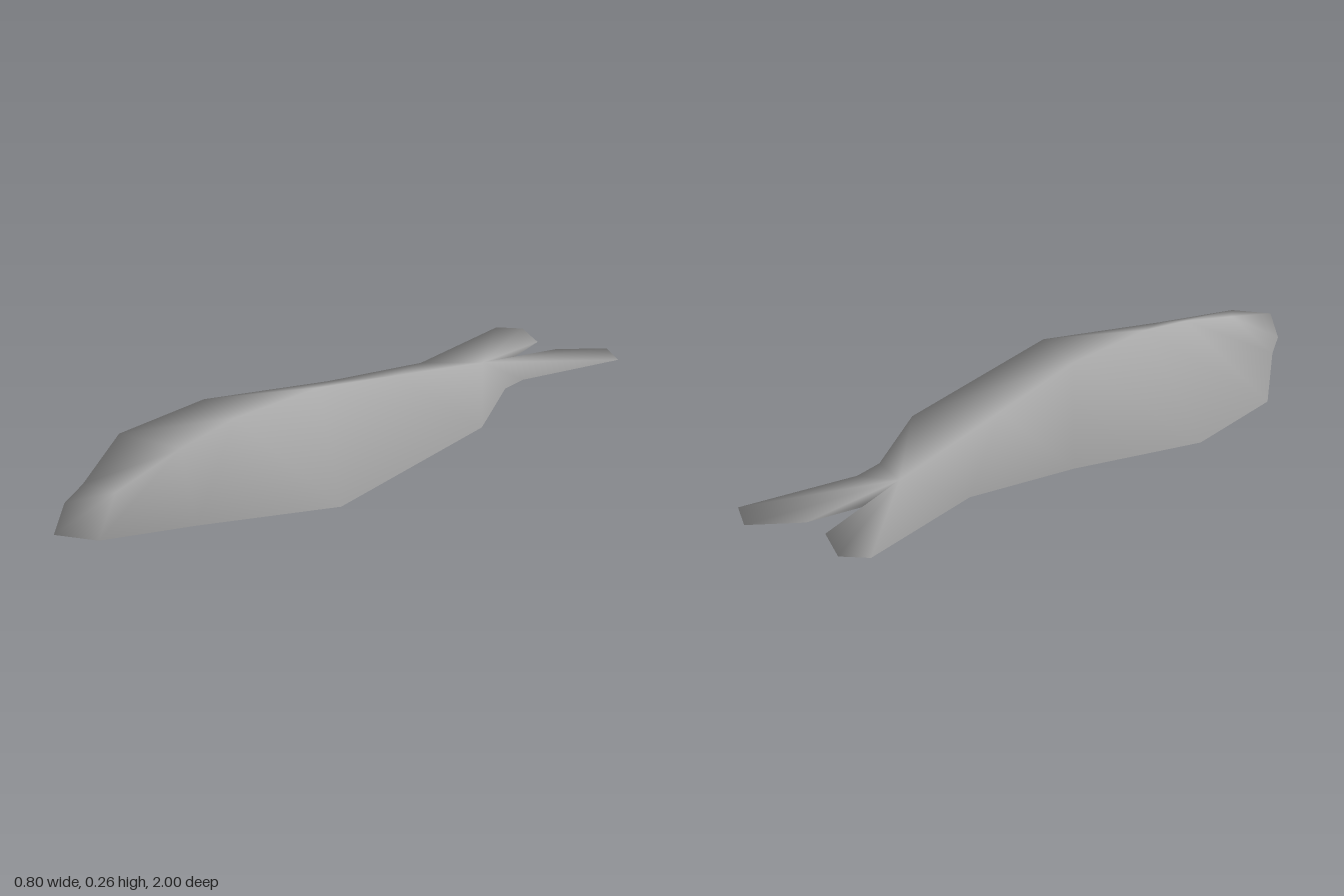
import * as THREE from 'three';

const MID = 0.133; // height of the thin outer rim
const SPINE_X = 0.01;

// ridge from nose to tail: [z, half thickness]
const ridge = [[0.8, 0.05], [0.58, 0.103], [0.39, 0.132], [0.08, 0.132], [-0.22, 0.085], [-0.6, 0.024]];

// outline from the nose round the tail and back: [x, z, index of the ridge point it joins]
const rim = [
  [0.01, 1.0, 0], [-0.12, 0.86, 0], [-0.18, 0.75, 1], [-0.375, 0.46, 2],
  [-0.4, 0.125, 3], [-0.25, -0.22, 4], [-0.16, -0.52, 5],
  // forked tail
  [-0.205, -0.915, 5], [-0.14, -0.962, 5], [-0.03, -0.9, 5], [0.005, -0.68, 5],
  [0.05, -0.89, 5], [0.155, -1.0, 5], [0.24, -0.945, 5],
  [0.145, -0.62, 5], [0.155, -0.53, 5], [0.3, -0.26, 3],
  [0.395, 0.39, 2], [0.22, 0.72, 1], [0.115, 0.945, 0],
];

// stitch the rim to the upper and lower ridges, sharing vertices for smooth shading
function bodyGeometry() {
  const positions = [];
  const indices = [];
  rim.forEach(([x, z]) => positions.push(x, MID, z));
  for (const side of [1, -1]) {
    const start = positions.length / 3;
    ridge.forEach(([z, h]) => positions.push(SPINE_X, MID + side * h, z));
    const tri = (a, b, c) => (side > 0 ? indices.push(a, b, c) : indices.push(a, c, b));
    rim.forEach((point, i) => {
      const next = (i + 1) % rim.length;
      const target = rim[next][2];
      let r = point[2];
      tri(next, i, start + r);
      while (r !== target) {
        const step = r + Math.sign(target - r);
        tri(next, start + r, start + step);
        r = step;
      }
    });
  }
  const geometry = new THREE.BufferGeometry();
  geometry.setAttribute('position', new THREE.Float32BufferAttribute(positions, 3));
  geometry.setIndex(indices);
  geometry.computeVertexNormals();
  return geometry;
}

export function createModel() {
  const group = new THREE.Group();
  group.name = 'fish';
  const grey = new THREE.MeshStandardMaterial({ color: 0xb0b0b0 });
  grey.name = 'grey';
  const body = new THREE.Mesh(bodyGeometry(), grey);
  body.name = 'bodyWithForkedTail';
  group.add(body);
  return group;
}
